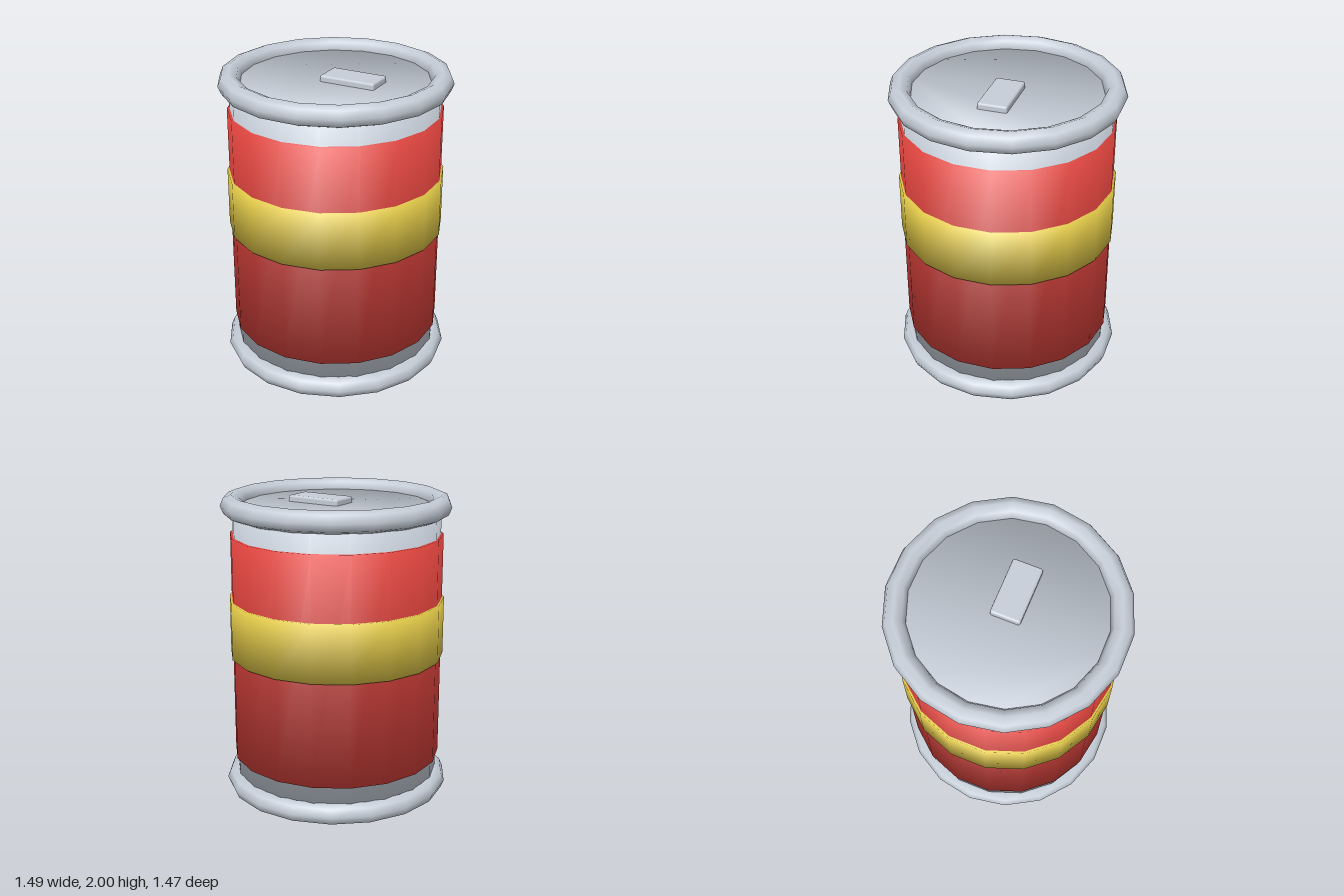
import * as THREE from 'three';
import { RoundedBoxGeometry } from 'three/addons/geometries/RoundedBoxGeometry.js';

const SIDES = 18;

// Closed drum whose normals are shared between wall and caps, so it shades softly
function drumGeometry(radius, y0, y1) {
  const positions = [], normals = [], index = [];
  const s = Math.SQRT1_2;
  for (let i = 0; i < SIDES; i++) {
    const a = (i / SIDES) * Math.PI * 2;
    const x = Math.sin(a), z = Math.cos(a);
    positions.push(x * radius, y0, z * radius, x * radius, y1, z * radius);
    normals.push(x * s, -s, z * s, x * s, s, z * s);
    const b = 2 * i, t = b + 1;
    const nb = 2 * ((i + 1) % SIDES), nt = nb + 1;
    index.push(b, nb, nt, b, nt, t);
    // caps fan out from the first rim vertex
    if (i > 0 && i < SIDES - 1) index.push(1, t, nt, 0, nb, b);
  }
  const geometry = new THREE.BufferGeometry();
  geometry.setAttribute('position', new THREE.Float32BufferAttribute(positions, 3));
  geometry.setAttribute('normal', new THREE.Float32BufferAttribute(normals, 3));
  geometry.setIndex(index);
  return geometry;
}

function material(name, color) {
  const m = new THREE.MeshStandardMaterial({ color });
  m.name = name;
  return m;
}

export function createModel() {
  const group = new THREE.Group();
  group.name = 'can';
  const metal = material('metal grey', 0xc6ced8);
  const red = material('label red', 0xdb423c);
  const yellow = material('band yellow', 0xdfc747);

  const add = (name, geometry, mat, x = 0, y = 0, z = 0) => {
    const mesh = new THREE.Mesh(geometry, mat);
    mesh.name = name;
    mesh.position.set(x, y, z);
    group.add(mesh);
  };

  // Metal body, red label around it, yellow band around the label
  add('body', drumGeometry(0.675, 0.07, 1.93), metal);
  add('label', drumGeometry(0.692, 0.25, 1.74), red);
  add('band', drumGeometry(0.706, 0.94, 1.32), yellow);

  // Rolled rims at both ends
  const rim = new THREE.TorusGeometry(0.675, 0.07, 8, SIDES).rotateX(Math.PI / 2);
  add('topRim', rim, metal, 0, 1.93, 0);
  add('bottomRim', rim, metal, 0, 0.07, 0);

  // Pull tab lying on the lid
  add('pullTab', new RoundedBoxGeometry(0.375, 0.07, 0.192, 2, 0.014), metal, 0.123, 1.935, 0);

  return group;
}
